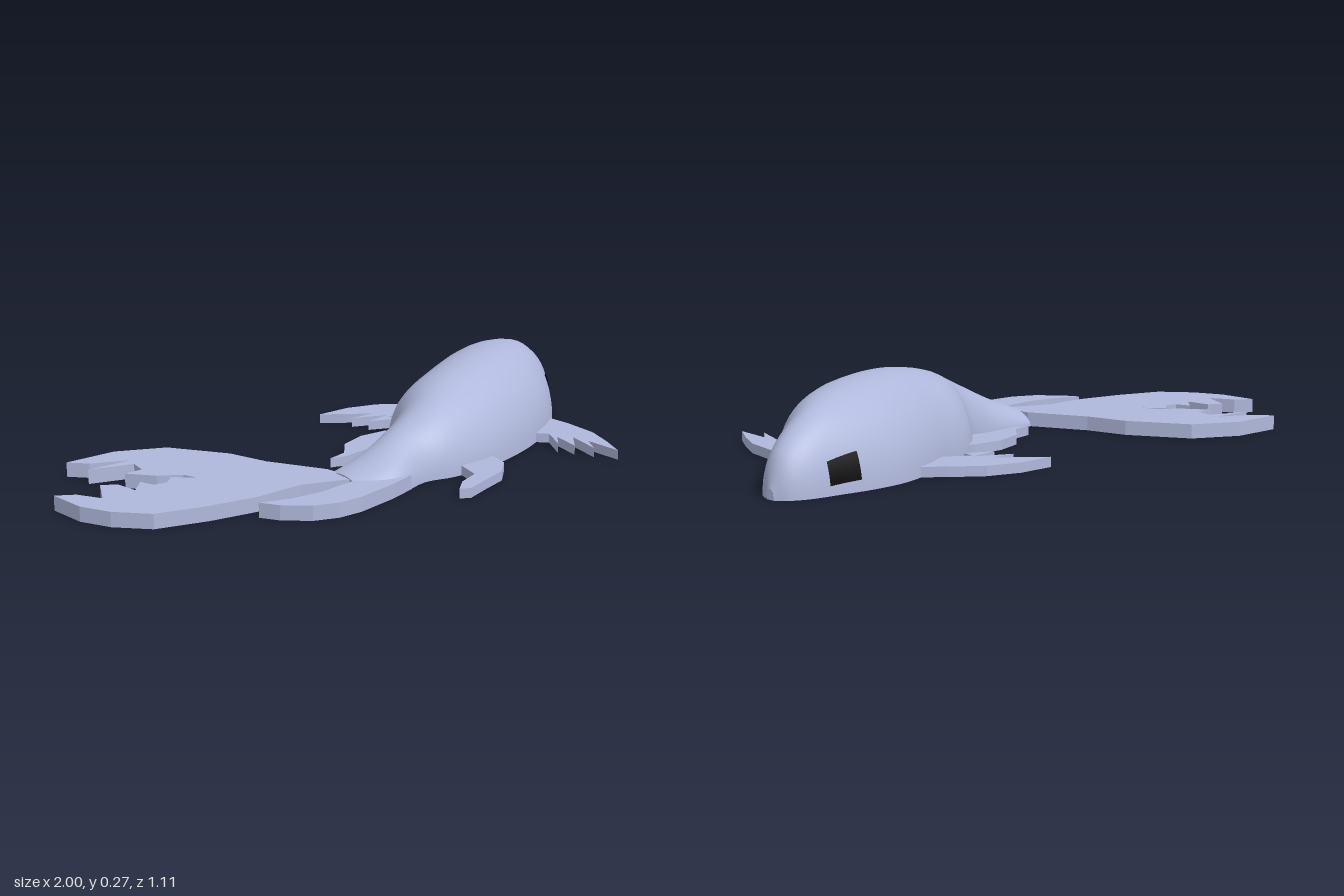
import * as THREE from 'three';

// body stations from tail to nose: left edge x,z / right edge x,z / height
const STATIONS = [
  [-0.32, 0.24, -0.28, 0.05, 0.05], [-0.21, 0.285, -0.18, 0.05, 0.09],
  [-0.07, 0.265, -0.08, 0.05, 0.14], [0.03, 0.295, 0.05, 0, 0.19],
  [0.2, 0.305, 0.16, -0.1, 0.235], [0.38, 0.277, 0.32, -0.165, 0.262],
  [0.53, 0.23, 0.48, -0.23, 0.267], [0.66, 0.17, 0.6, -0.262, 0.262],
  [0.77, 0.09, 0.72, -0.262, 0.243], [0.85, 0, 0.83, -0.243, 0.212],
  [0.92, -0.045, 0.92, -0.225, 0.165], [0.97, -0.085, 0.97, -0.2, 0.115],
  [1, -0.135, 1, -0.165, 0.03],
];
const N = STATIONS.length - 1;
const edgeA = new THREE.CatmullRomCurve3(STATIONS.map((s) => new THREE.Vector3(s[0], s[4], s[1])));
const edgeB = new THREE.CatmullRomCurve3(STATIONS.map((s) => new THREE.Vector3(s[2], s[4], s[3])));

// point on the domed body: u along the spine, t around the half ellipse
function bodyPoint(u, t, scale = 1, lift = 0) {
  const a = edgeA.getPoint(u), b = edgeB.getPoint(u);
  const mid = a.clone().add(b).multiplyScalar(0.5);
  const half = a.clone().sub(b).multiplyScalar(0.5);
  const k = Math.cos(t) * (scale + lift / half.length());
  return new THREE.Vector3(mid.x + half.x * k, a.y * Math.sin(t) * scale, mid.z + half.z * k);
}

// grid surface whose front is on the side of d(u) x d(v)
function surface(fn, nu, nv) {
  const pos = [], index = [];
  for (let i = 0; i <= nu; i++)
    for (let j = 0; j <= nv; j++) pos.push(...fn(i / nu, j / nv).toArray());
  for (let i = 0; i < nu; i++)
    for (let j = 0; j < nv; j++) {
      const a = i * (nv + 1) + j, d = a + 1, b = a + nv + 1, c = b + 1;
      index.push(a, b, c, a, c, d);
    }
  const g = new THREE.BufferGeometry();
  g.setAttribute('position', new THREE.Float32BufferAttribute(pos, 3));
  g.setIndex(index);
  g.computeVertexNormals();
  return g;
}

// flat fin cut from an x,z outline, standing on the ground
function finGeometry(outline, height) {
  const shape = new THREE.Shape(outline.map(([x, z]) => new THREE.Vector2(x, -z)));
  return new THREE.ExtrudeGeometry(shape, { depth: height, bevelEnabled: false }).rotateX(-Math.PI / 2);
}

const FINS = {
  tailFin: [0.045, [[-0.28, 0.19], [-0.44, 0.11], [-0.6, 0.1], [-0.75, 0.06], [-0.9, 0], [-0.97, -0.1],
    [-1, -0.2], [-0.99, -0.33], [-0.94, -0.29], [-0.91, -0.21], [-0.84, -0.31], [-0.8, -0.28],
    [-0.8, -0.2], [-0.74, -0.25], [-0.73, -0.2], [-0.69, -0.19], [-0.65, -0.22], [-0.6, -0.16],
    [-0.61, -0.21], [-0.67, -0.26], [-0.72, -0.345], [-0.66, -0.34], [-0.64, -0.4], [-0.77, -0.455],
    [-0.62, -0.435], [-0.73, -0.5], [-0.77, -0.56], [-0.6, -0.545], [-0.46, -0.46], [-0.37, -0.27],
    [-0.35, -0.13], [-0.28, 0.06]]],
  lowerTailLobe: [0.045, [[-0.635, 0.14], [-0.55, 0.18], [-0.45, 0.2], [-0.28, 0.195], [-0.18, 0.2],
    [-0.15, 0.28], [-0.25, 0.3], [-0.4, 0.315], [-0.48, 0.305], [-0.55, 0.27], [-0.61, 0.2]]],
  rightPectoralFin: [0.03, [[0.17, -0.42], [0.29, -0.41], [0.39, -0.37], [0.47, -0.3], [0.54, -0.23],
    [0.55, -0.15], [0.4, -0.15], [0.37, -0.195], [0.31, -0.24], [0.3, -0.2], [0.22, -0.245],
    [0.32, -0.25], [0.21, -0.31], [0.3, -0.3], [0.23, -0.36]]],
  rightPelvicFin: [0.03, [[-0.16, -0.045], [-0.09, -0.055], [-0.02, -0.12], [0.08, -0.145], [0.18, -0.13],
    [0.24, -0.09], [0.15, 0], [0.06, -0.02], [-0.02, -0.03], [-0.11, -0.025]]],
  leftPelvicFin: [0.03, [[-0.12, 0.44], [-0.06, 0.4], [0.02, 0.38], [0.06, 0.29], [0.1, 0.25], [0.2, 0.25],
    [0.2, 0.3], [0.17, 0.37], [0.1, 0.42], [0, 0.44], [-0.09, 0.46]]],
  leftPectoralFin: [0.03, [[0.47, 0.22], [0.51, 0.28], [0.44, 0.37], [0.5, 0.32], [0.46, 0.42], [0.53, 0.36],
    [0.48, 0.48], [0.53, 0.42], [0.51, 0.55], [0.57, 0.46], [0.62, 0.37], [0.65, 0.25], [0.66, 0.16],
    [0.55, 0.15]]],
};

export function createModel() {
  const group = new THREE.Group();
  const skin = new THREE.MeshStandardMaterial({ color: 0xb0b9dc });
  skin.name = 'pale blue skin';
  const black = new THREE.MeshStandardMaterial({ color: 0x050505 });
  black.name = 'black eye';
  const add = (name, geometry, material = skin) => {
    const mesh = new THREE.Mesh(geometry, material);
    mesh.name = name;
    group.add(mesh);
  };

  // domed body with flat belly and closed ends
  add('body', surface((u, v) => bodyPoint(u, v * Math.PI), 48, 24));
  add('belly', surface((u, v) => bodyPoint(u, (1 - v) * Math.PI).setY(0), 48, 1));
  add('tailEnd', surface((s, v) => bodyPoint(0, v * Math.PI, s), 1, 16));
  add('noseEnd', surface((s, v) => bodyPoint(1, v * Math.PI, 1 - s), 1, 16));

  // ragged flat fins
  for (const [name, [height, outline]] of Object.entries(FINS)) add(name, finGeometry(outline, height));

  // square eyes lying just off the skin
  const eye = (u0, u1, t0, t1) => surface(
    (u, v) => bodyPoint((u0 + (u1 - u0) * u) / N, t0 + (t1 - t0) * v, 1.01, 0.007), 6, 6);
  add('leftEye', eye(9, 10.2, 0.16, 0.56), black);
  add('rightEye', eye(8.45, 9.4, Math.PI - 0.5, Math.PI - 0.15), black);
  return group;
}
